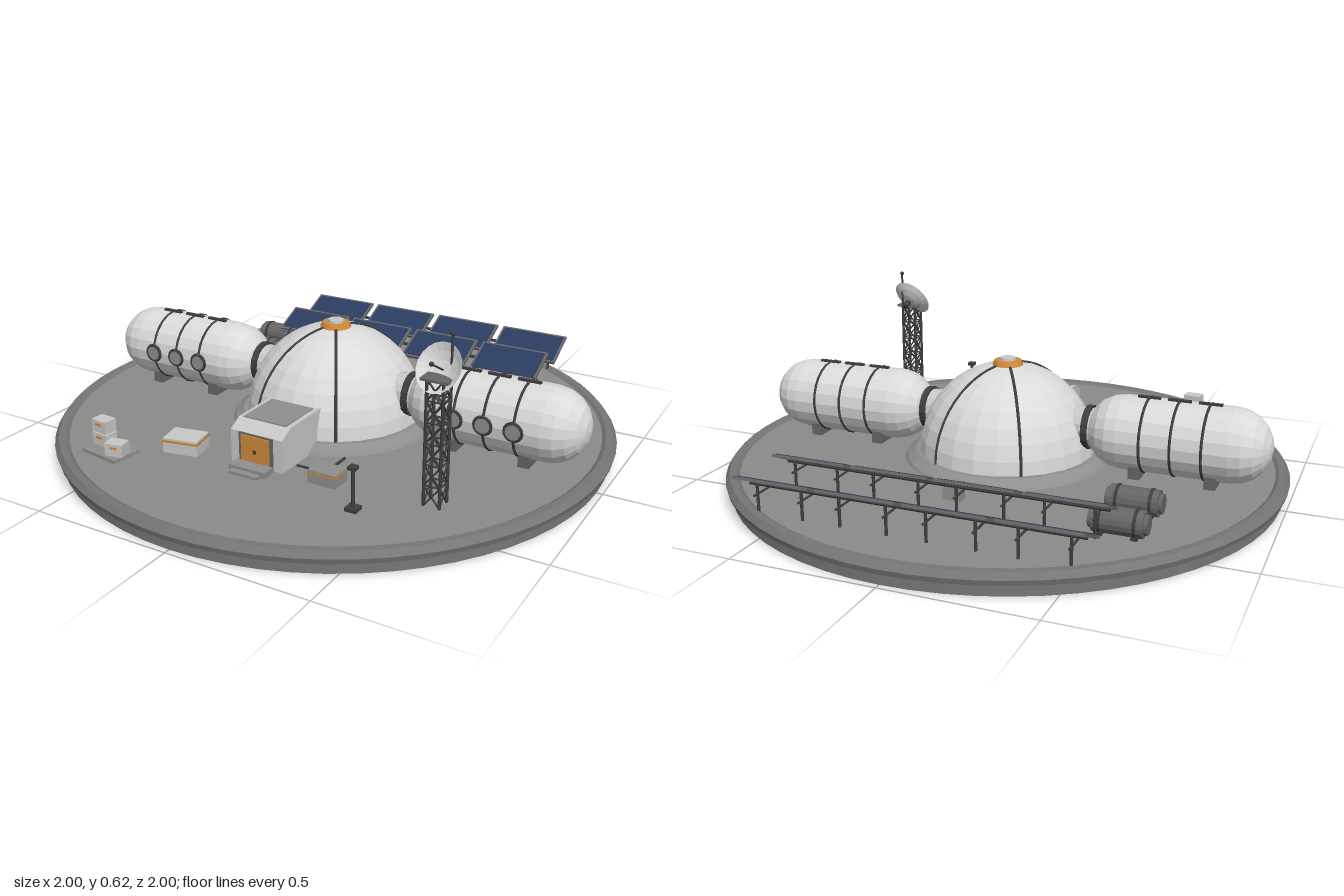
import * as THREE from 'three';

const mat = (name, color, side = THREE.FrontSide) => {
  const m = new THREE.MeshStandardMaterial({ color, side, flatShading: true });
  m.name = name;
  return m;
};

export function createModel() {
  const M = {
    shell: mat('pale shell', 0xdadada, THREE.DoubleSide),
    ground: mat('ground grey', 0x8b8b89),
    rim: mat('rim grey', 0x777777),
    grey: mat('equipment grey', 0x8f8f8d),
    tank: mat('tank grey', 0x666666),
    dark: mat('dark metal', 0x3c3e40),
    orange: mat('orange', 0xd08a3c),
    solar: mat('solar blue', 0x2a3c60),
    pale: mat('crate pale grey', 0xc8c8c6),
  };
  const root = new THREE.Group();
  const G = 0.07; // ground level

  const add = (name, geo, m, x = 0, y = 0, z = 0, parent = root) => {
    const mesh = new THREE.Mesh(geo, m);
    mesh.name = name;
    mesh.position.set(x, y, z);
    parent.add(mesh);
    return mesh;
  };
  const box = (name, w, h, d, m, x, y, z, parent) =>
    add(name, new THREE.BoxGeometry(w, h, d), m, x, y, z, parent);
  const cyl = (name, r0, r1, h, n, m, x, y, z, parent) =>
    add(name, new THREE.CylinderGeometry(r0, r1, h, n), m, x, y, z, parent);
  const group = (name, x = 0, y = 0, z = 0, ry = 0) => {
    const g = new THREE.Group();
    g.name = name;
    g.position.set(x, y, z);
    g.rotation.y = ry;
    root.add(g);
    return g;
  };
  const lathe = (name, pts, n, m) =>
    add(name, new THREE.LatheGeometry(pts.map(p => new THREE.Vector2(...p)), n), m);
  const strut = (name, a, b, r, m, parent) => {
    const p = new THREE.Vector3(...a), q = new THREE.Vector3(...b);
    const s = cyl(name, r, r, p.distanceTo(q), 6, m, 0, 0, 0, parent);
    s.position.copy(p).add(q).multiplyScalar(0.5);
    s.quaternion.setFromUnitVectors(new THREE.Vector3(0, 1, 0), q.sub(p).normalize());
    return s;
  };

  // Round base with a raised bevelled rim
  lathe('baseRim', [[0, 0], [0.98, 0], [0.98, 0.034], [0.995, 0.04], [1, 0.058],
    [0.985, 0.078], [0.962, 0.078], [0.95, G]], 64, M.rim);
  lathe('ground', [[0.951, G], [0, G]], 64, M.ground);

  // Central dome, skirt, ribs and cap
  lathe('domeSkirt', [[0.372, G], [0.365, 0.08], [0.335, 0.1], [0.3, 0.1]], 32, M.grey);
  const R = 0.318, DY = 0.093;
  add('dome', new THREE.SphereGeometry(R, 24, 9, 0, Math.PI * 2, 0, Math.PI / 2), M.shell, 0, DY, 0);
  for (const a of [60, 120, 240, 300]) {
    const rib = add('domeRib', new THREE.TorusGeometry(R, 0.0055, 5, 20, Math.PI / 2), M.dark, 0, DY, 0);
    rib.rotation.y = THREE.MathUtils.degToRad(a);
  }
  cyl('capRing', 0.048, 0.056, 0.018, 16, M.orange, 0, 0.414, 0);
  cyl('capHatch', 0.028, 0.03, 0.012, 12, M.pale, 0, 0.426, 0);

  // Two capsule modules, joined to the dome by short tunnels
  for (const s of [-1, 1]) {
    const g = group(s > 0 ? 'leftModule' : 'rightModule', s * 0.625, 0.21, 0);
    add('moduleShell', new THREE.CapsuleGeometry(0.13, 0.38, 5, 20), M.shell, 0, 0, 0, g).rotation.z = Math.PI / 2;
    cyl('tunnel', 0.07, 0.07, 0.14, 16, M.pale, -s * 0.32, 0, 0, g).rotation.z = Math.PI / 2;
    cyl('tunnelCollar', 0.078, 0.078, 0.022, 16, M.dark, -s * 0.316, 0, 0, g).rotation.z = Math.PI / 2;
    for (const x of [-0.105, 0, 0.105]) {
      add('moduleBand', new THREE.TorusGeometry(0.13, 0.005, 5, 24), M.dark, x, 0, 0, g).rotation.y = Math.PI / 2;
      add('windowFrame', new THREE.TorusGeometry(0.03, 0.006, 6, 16), M.dark, x, 0, 0.132, g);
      cyl('windowPane', 0.028, 0.028, 0.008, 16, M.grey, x, 0, 0.132, g).rotation.x = Math.PI / 2;
      box('topRail', 0.08, 0.008, 0.012, M.dark, x, 0.133, 0, g);
    }
    for (const x of [-0.13, 0.13])
      box('moduleFoot', 0.04, 0.05, 0.17, M.tank, x, -0.118, 0, g);
  }

  // Airlock with a chamfered front, door and steps
  const prof = new THREE.Shape([[-0.25, G], [-0.515, G], [-0.515, 0.185], [-0.465, 0.212], [-0.25, 0.212]]
    .map(p => new THREE.Vector2(...p)));
  const lock = add('airlock', new THREE.ExtrudeGeometry(prof, { depth: 0.2, bevelEnabled: false }), M.pale, -0.1, 0, 0);
  lock.rotation.y = Math.PI / 2;
  box('airlockRoof', 0.165, 0.006, 0.17, M.grey, 0, 0.213, 0.38);
  box('doorFrame', 0.13, 0.115, 0.008, M.tank, 0, G + 0.0575, 0.517);
  box('door', 0.108, 0.11, 0.012, M.orange, 0, G + 0.055, 0.52);
  box('doorWindow', 0.012, 0.012, 0.006, M.dark, 0, 0.128, 0.527);
  box('upperStep', 0.14, 0.02, 0.05, M.grey, 0, G + 0.01, 0.55);
  box('lowerStep', 0.11, 0.01, 0.025, M.grey, 0, G + 0.005, 0.585);

  // Crates
  const crate = (x, y, z, w, h, d, ry, m) => {
    const g = group('crate', x, y, z, ry);
    box('crateBody', w, h, d, m, 0, h / 2, 0, g);
    return g;
  };
  const big = crate(-0.285, G, 0.52, 0.125, 0.052, 0.095, 0.2, M.pale);
  box('crateStripe', 0.128, 0.008, 0.098, M.orange, 0, 0.042, 0, big);
  const kit = crate(0.25, G, 0.487, 0.102, 0.045, 0.075, 0, M.grey);
  box('crateStripe', 0.104, 0.006, 0.077, M.orange, 0, 0.036, 0, kit);
  box('pallet', 0.16, 0.012, 0.115, M.grey, -0.49, G + 0.006, 0.665).rotation.y = -0.15;
  for (const [x, y, z, a] of [[-0.535, 0.012, 0.642, -0.1], [-0.535, 0.06, 0.642, -0.1], [-0.445, 0.012, 0.685, 0.2]]) {
    const c = crate(x, G + y, z, 0.065, 0.044, 0.05, a, M.pale);
    box('crateLabel', 0.025, 0.008, 0.003, M.orange, 0, 0.03, 0.026, c);
  }
  strut('groundCable', [0.22, G + 0.005, 0.32], [0.22, G + 0.005, 0.46], 0.005, M.dark);
  strut('groundCable', [0.11, G + 0.005, 0.445], [0.26, G + 0.005, 0.445], 0.004, M.dark);

  // Lamp post
  box('lampBase', 0.04, 0.012, 0.04, M.dark, 0.413, G + 0.006, 0.61);
  strut('lampPost', [0.413, G, 0.61], [0.413, 0.21, 0.61], 0.006, M.dark);
  box('lampHead', 0.026, 0.012, 0.026, M.dark, 0.413, 0.212, 0.61);

  // Lattice mast with cross bracing
  const mast = group('mast', 0.61, 0, 0.45);
  const h = 0.027, top = 0.485, bays = 6, step = (top - G) / bays;
  const corners = [[-h, -h], [h, -h], [h, h], [-h, h]];
  corners.forEach(([x, z], i) => {
    const [u, w] = corners[(i + 1) % 4];
    strut('mastLeg', [x, G, z], [x, top, z], 0.005, M.dark, mast);
    for (let k = 0; k < bays; k++) {
      const y0 = G + k * step, y1 = y0 + step;
      strut('mastBrace', [x, y0, z], [u, y1, w], 0.003, M.dark, mast);
      strut('mastBrace', [u, y0, w], [x, y1, z], 0.003, M.dark, mast);
      strut('mastRung', [x, y1, z], [u, y1, w], 0.003, M.dark, mast);
    }
  });
  box('mastPlatform', 0.09, 0.008, 0.08, M.tank, 0, top, 0, mast);
  strut('whipAntenna', [0.025, top, -0.03], [0.025, 0.615, -0.03], 0.004, M.dark, mast);
  add('antennaTip', new THREE.SphereGeometry(0.008, 8, 6), M.dark, 0.025, 0.617, -0.03, mast);

  // Shallow dish, its axis along local +y
  const dish = group('dish', 0.61, 0.5, 0.425);
  dish.quaternion.setFromUnitVectors(new THREE.Vector3(0, 1, 0), new THREE.Vector3(-0.2, 0.52, 0.83).normalize());
  const bowl = [0, 0.03, 0.056, 0.08].map(r => new THREE.Vector2(r, r * r * 4));
  add('dishBowl', new THREE.LatheGeometry(bowl, 20), M.shell, 0, 0, 0, dish);
  strut('dishFeed', [0, 0, 0], [0, 0.065, 0], 0.003, M.dark, dish);
  add('feedTip', new THREE.SphereGeometry(0.008, 8, 6), M.dark, 0, 0.065, 0, dish);
  strut('dishMount', [0, 0, 0], [0, -0.03, 0], 0.012, M.dark, dish);

  // Two rows of four tilted solar panels on a rail with posts
  for (const z of [-0.787, -0.572]) {
    const row = group('solarRow', 0, 0, z);
    for (let i = 0; i < 4; i++) {
      const x = (i - 1.5) * 0.293;
      const p = new THREE.Group();
      p.name = 'solarPanel';
      p.position.set(x, 0.168, 0);
      p.rotation.x = 0.435;
      row.add(p);
      box('panelFrame', 0.268, 0.01, 0.155, M.tank, 0, 0, 0, p);
      box('panelCells', 0.25, 0.004, 0.136, M.solar, 0, 0.0055, 0, p);
      for (const s of [-0.08, 0.08]) {
        strut('panelPost', [x + s, G, -0.02], [x + s, 0.17, -0.02], 0.005, M.dark, row);
        strut('panelArm', [x + s, 0.135, -0.04], [x + s, 0.135, 0.06], 0.004, M.dark, row);
      }
    }
    strut('panelRail', [-0.56, 0.16, 0], [0.56, 0.16, 0], 0.006, M.dark, row);
  }
  box('powerBox', 0.06, 0.06, 0.042, M.grey, 0, G + 0.03, -0.468);

  // Storage tanks lying along x
  for (const z of [-0.535, -0.36]) {
    const t = group('tank', -0.578, 0.113, z);
    const lay = (name, r0, len, m, x) => { cyl(name, r0, r0, len, 16, m, x, 0, 0, t).rotation.z = Math.PI / 2; };
    lay('tankBody', 0.043, 0.16, M.tank, 0);
    for (const s of [-1, 1]) {
      lay('tankEnd', 0.032, 0.185, M.tank, 0);
      lay('tankBand', 0.046, 0.01, M.dark, s * 0.055);
      box('tankFoot', 0.02, 0.03, 0.07, M.dark, s * 0.055, -0.03, 0, t);
    }
  }
  strut('tankValve', [-0.578, G, -0.447], [-0.578, 0.1, -0.447], 0.005, M.dark);

  return root;
}
